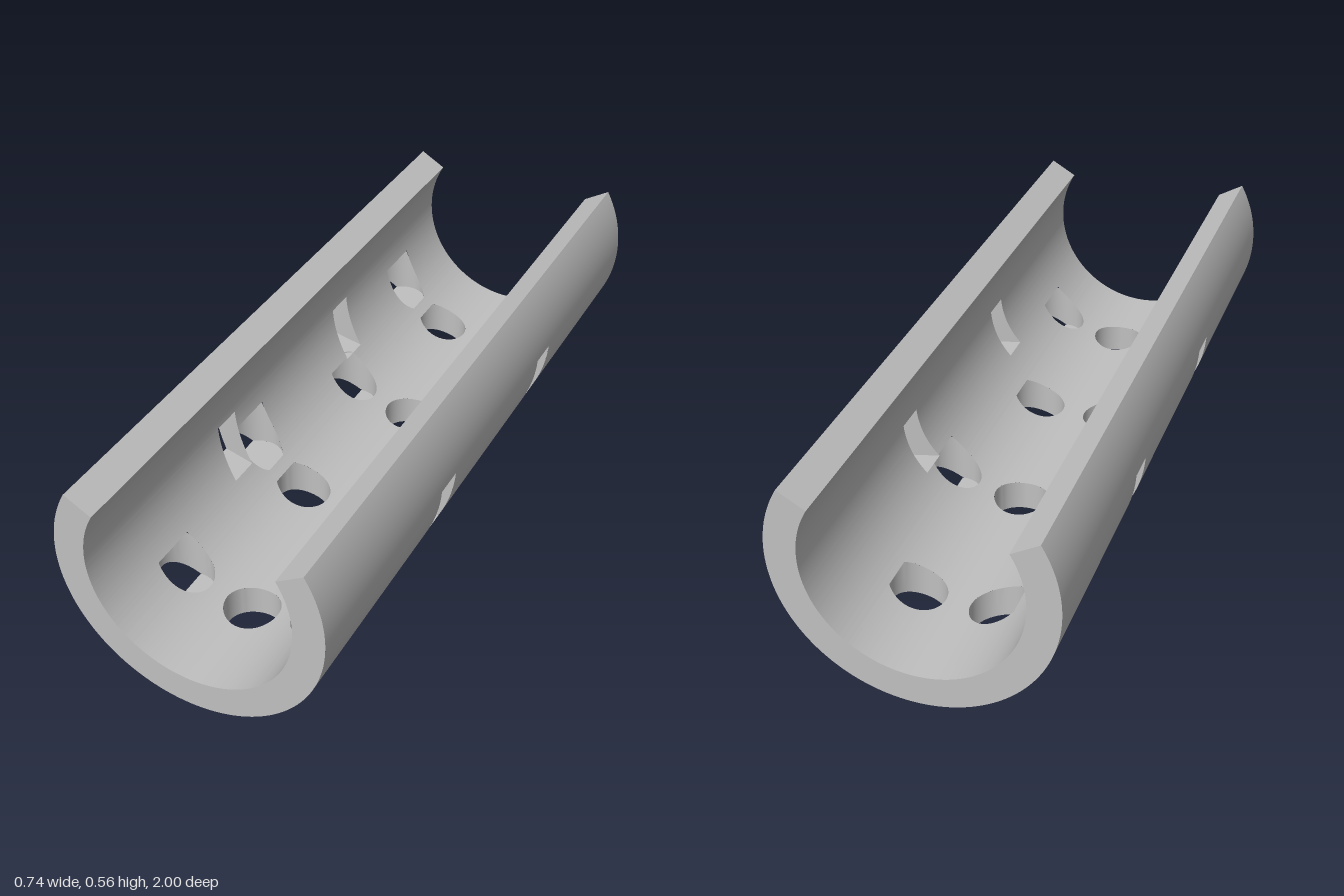
import * as THREE from 'three';
import { toCreasedNormals } from 'three/addons/utils/BufferGeometryUtils.js';

const RO = 0.371, RI = 0.286, CY = 0.371, HALF = 1;
const OPEN = THREE.MathUtils.degToRad(120); // shell reaches 120 degrees each way from the bottom
const V = (x, y, z) => new THREE.Vector3(x, y, z);
const rim = (R, h) => Math.sqrt(Math.max(0, R * R - h * h));

// Collects quads, turning each triangle to face the given direction
class Surface {
  constructor() { this.points = []; }
  tri(a, b, c, dir) {
    const n = b.clone().sub(a).cross(c.clone().sub(a));
    if (n.length() < 1e-10) return;
    for (const p of n.dot(dir) < 0 ? [a, c, b] : [a, b, c]) this.points.push(p.x, p.y, p.z);
  }
  quad(a, b, c, d, dir) {
    this.tri(a, b, c, dir);
    this.tri(a, c, d, dir);
  }
  mesh(name, material) {
    const g = new THREE.BufferGeometry();
    g.setAttribute('position', new THREE.Float32BufferAttribute(this.points, 3));
    const m = new THREE.Mesh(toCreasedNormals(g, 0.5), material);
    m.name = name;
    return m;
  }
}

// Vertical round drillings: alternating rows, each with a floor and a ceiling height
const R = 0.0755, holes = [];
const drill = (x, z, y0, y1) => holes.push({
  x, z, y0, y1,
  covers: (px, py) => Math.abs(px - x) < R && py > y0 && py < y1,
  span: (px) => { const h = rim(R, px - x); return [z - h, z + h]; },
  xs: Array.from({ length: 25 }, (_, k) => x - R * Math.cos(k * Math.PI / 24)),
});
for (const z of [-0.238, 0.714]) {
  drill(0, z, -1, 0.12);
  for (const s of [-1, 1]) drill(s * 0.199, z, 0.062, 0.204);
}
for (const z of [-0.714, 0.238]) {
  for (const s of [-1, 1]) drill(s * 0.109, z, -1, 0.139);
  drill(-0.26, z, 0.162, 0.301);
}

// Slanted rectangular windows, mirrored on both sides
const SLANT = Math.tan(Math.PI / 12), windows = [];
for (const side of [-1, 1]) for (const z of [0.318, -0.35]) {
  const y0 = 0.2, y1 = 0.35;
  windows.push({
    side, y0, y1, xs: [],
    covers: (px, py) => px * side > 0 && py > y0 && py < y1,
    span: (px) => {
      const c = z + (RO - Math.abs(px)) * SLANT;
      return [c - 0.044, c + 0.044];
    },
  });
}
const cuts = [...holes, ...windows];

// Curved wall in narrow strips, broken along z wherever a cut passes through
function shell(radius, facing) {
  const s = new Surface();
  let stops = [];
  for (let i = 0; i <= 120; i++) stops.push(-OPEN + 2 * OPEN * i / 120);
  for (const c of cuts) {
    for (const x of c.xs) if (Math.abs(x) < radius) stops.push(Math.asin(x / radius));
    for (const y of [c.y0, c.y1]) {
      const k = (CY - y) / radius;
      if (Math.abs(k) < 1) stops.push(Math.acos(k), -Math.acos(k));
    }
  }
  stops.sort((a, b) => a - b);
  stops = stops.filter((a, i) => i === 0 || a - stops[i - 1] > 1e-7);
  for (let i = 0; i + 1 < stops.length; i++) {
    const a = stops[i], b = stops[i + 1], m = (a + b) / 2;
    const at = (t, z) => V(radius * Math.sin(t), CY - radius * Math.cos(t), z);
    const xa = at(a, 0).x, xb = at(b, 0).x, mid = at(m, 0);
    const gaps = cuts.filter((c) => c.covers(mid.x, mid.y))
      .map((c) => [c.span(xa), c.span(xb)]).sort((p, q) => p[0][0] - q[0][0]);
    gaps.push([[HALF, HALF], [HALF, HALF]]);
    const dir = V(Math.sin(m), -Math.cos(m), 0).multiplyScalar(facing);
    let za = -HALF, zb = -HALF;
    for (const [ga, gb] of gaps) {
      if (ga[0] + gb[0] > za + zb) s.quad(at(a, za), at(a, ga[0]), at(b, gb[0]), at(b, zb), dir);
      za = ga[1];
      zb = gb[1];
    }
  }
  return s;
}

// Sides, floor and ceiling of one round drilling
function drillWalls(s, h) {
  const N = 48;
  const point = (k) => {
    const t = k / N * Math.PI * 2, x = h.x + R * Math.cos(t), z = h.z + R * Math.sin(t);
    const low = Math.max(h.y0, CY - rim(RO, x));
    const high = Math.abs(x) < RI ? Math.min(h.y1, CY - rim(RI, x)) : h.y1;
    return { low: V(x, low, z), high: V(x, Math.max(low, high), z) };
  };
  for (let k = 0; k < N; k++) {
    const a = point(k), b = point(k + 1);
    const dir = V(h.x - a.low.x / 2 - b.low.x / 2, 0, h.z - a.low.z / 2 - b.low.z / 2);
    s.quad(a.low, b.low, b.high, a.high, dir);
  }
  const side = Math.sign(h.x), cx = Math.abs(h.x);
  for (const [y, up] of [[h.y0, 1], [h.y1, -1]]) {
    const x0 = Math.max(rim(RI, CY - y), cx - R), x1 = Math.min(rim(RO, CY - y), cx + R);
    if (x1 <= x0 || side === 0) continue;
    for (let i = 0; i < 16; i++) {
      const a = side * (x0 + (x1 - x0) * i / 16), b = side * (x0 + (x1 - x0) * (i + 1) / 16);
      const [a0, a1] = h.span(a), [b0, b1] = h.span(b);
      s.quad(V(a, y, a0), V(a, y, a1), V(b, y, b1), V(b, y, b0), V(0, up, 0));
    }
  }
}

// Sill, head and two jambs of one window
function windowWalls(s, w) {
  const at = (rad, y, e) => {
    const x = w.side * rim(rad, CY - y);
    return V(x, y, w.span(x)[e]);
  };
  for (const [y, up] of [[w.y0, 1], [w.y1, -1]])
    s.quad(at(RI, y, 0), at(RO, y, 0), at(RO, y, 1), at(RI, y, 1), V(0, up, 0));
  for (let i = 0; i < 12; i++) {
    const a = w.y0 + (w.y1 - w.y0) * i / 12, b = w.y0 + (w.y1 - w.y0) * (i + 1) / 12;
    for (const e of [0, 1])
      s.quad(at(RI, a, e), at(RO, a, e), at(RO, b, e), at(RI, b, e), V(0, 0, e ? -1 : 1));
  }
}

export function createModel() {
  const grey = new THREE.MeshStandardMaterial({ color: 0xc0c0c0 });
  grey.name = 'light grey';
  const group = new THREE.Group();
  group.name = 'perforatedTrough';

  group.add(shell(RO, 1).mesh('outerWall', grey), shell(RI, -1).mesh('innerWall', grey));

  // Ring-shaped end faces and the two long lips
  const ends = new Surface(), lips = new Surface();
  const at = (rad, t, z) => V(rad * Math.sin(t), CY - rad * Math.cos(t), z);
  for (const z of [-HALF, HALF]) for (let i = 0; i < 120; i++) {
    const a = -OPEN + 2 * OPEN * i / 120, b = -OPEN + 2 * OPEN * (i + 1) / 120;
    ends.quad(at(RI, a, z), at(RO, a, z), at(RO, b, z), at(RI, b, z), V(0, 0, z));
  }
  for (const t of [-OPEN, OPEN])
    lips.quad(at(RI, t, -HALF), at(RO, t, -HALF), at(RO, t, HALF), at(RI, t, HALF), V(0, 1, 0));
  group.add(ends.mesh('endFaces', grey), lips.mesh('lips', grey));

  const drilled = new Surface(), cutouts = new Surface();
  holes.forEach((h) => drillWalls(drilled, h));
  windows.forEach((w) => windowWalls(cutouts, w));
  group.add(drilled.mesh('drillingWalls', grey), cutouts.mesh('windowWalls', grey));
  return group;
}
